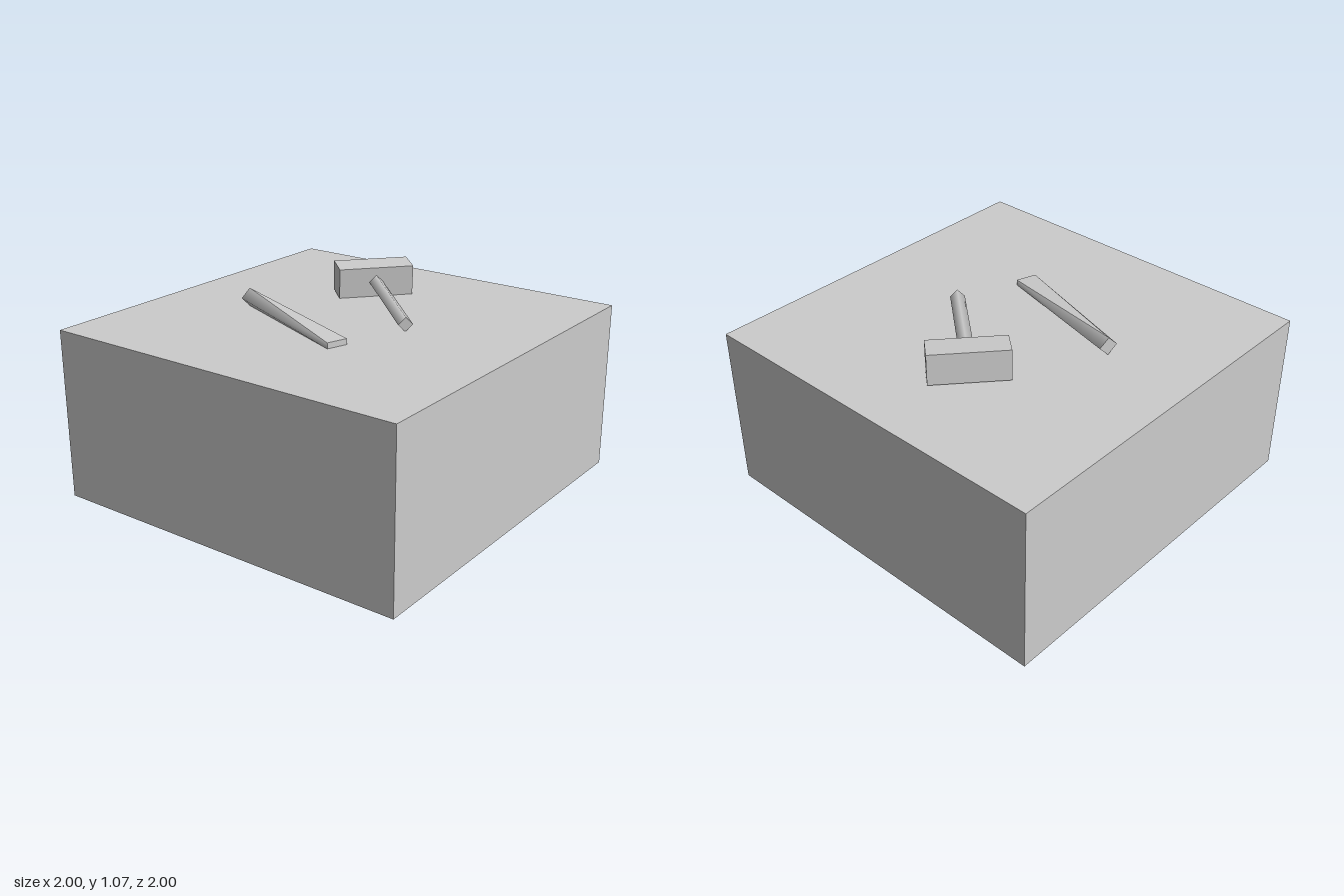
import * as THREE from 'three';
import { mergeGeometries } from 'three/addons/utils/BufferGeometryUtils.js';

const TOP = 0.9; // height of the block's upper surface

const grey = () => new THREE.MeshStandardMaterial({ color: 0xcccccc, side: THREE.DoubleSide });

function part(name, geometry, parent) {
  const mesh = new THREE.Mesh(geometry, grey());
  mesh.name = name;
  parent.add(mesh);
  return mesh;
}

// One smooth patch: corners shared inside the patch, sharp towards its neighbours.
function patch(corners, faces) {
  const geometry = new THREE.BufferGeometry();
  geometry.setAttribute('position', new THREE.Float32BufferAttribute(corners.flat(), 3));
  geometry.setIndex(faces.flat());
  geometry.computeVertexNormals();
  return geometry;
}

// Wedge that blends a diamond-shaped butt into a flat, wide blade.
function chiselGeometry() {
  const x = 0.4, r = 0.049, halfWidth = 0.056, thickness = 0.03;
  const ridge = [-x, 2 * r, 0];
  const keel = [-x, 0, 0];
  const side = (s) => [-x, r, s * r];
  const edgeTop = (s) => [x, thickness, s * halfWidth];
  const edgeLow = (s) => [x, 0, s * halfWidth];
  const patches = [];

  // Mirrored flanks
  for (const s of [1, -1]) {
    const faces = [[0, 1, 3], [1, 4, 3], [1, 2, 4]];
    if (s < 0) faces.forEach((f) => f.reverse());
    patches.push(patch([ridge, side(s), keel, edgeTop(s), edgeLow(s)], faces));
  }
  // Flat upper and lower faces
  patches.push(patch([ridge, edgeTop(1), edgeTop(-1)], [[0, 1, 2]]));
  patches.push(patch([keel, edgeLow(-1), edgeLow(1)], [[0, 1, 2]]));
  // Butt and blade ends
  const quad = [[0, 1, 2], [0, 2, 3]];
  patches.push(patch([ridge, side(-1), keel, side(1)], quad));
  patches.push(patch([edgeTop(1), edgeLow(1), edgeLow(-1), edgeTop(-1)], quad));
  return mergeGeometries(patches);
}

export function createModel() {
  const model = new THREE.Group();
  model.name = 'blockWithTools';

  // Hollow block, open underneath
  const shell = new THREE.BoxGeometry(2, TOP, 2);
  const bottomStart = 18; // the fourth box face is the underside
  shell.setIndex(Array.from(shell.index.array).filter((_, i) => i < bottomStart || i >= bottomStart + 6));
  shell.clearGroups();
  part('block', shell, model).position.y = TOP / 2;

  // Mallet lying down, tipped so the handle end rests on the block
  const mallet = new THREE.Group();
  mallet.name = 'mallet';
  mallet.position.set(-0.14, TOP + 0.086, -0.445);
  mallet.rotation.set(0, -0.717, -0.078);
  model.add(mallet);

  part('malletHead', new THREE.BoxGeometry(0.15, 0.16, 0.4), mallet);

  const handleLength = 0.68;
  const handle = new THREE.CylinderGeometry(0.038, 0.038, handleLength, 4);
  handle.rotateZ(Math.PI / 2).translate(handleLength / 2, 0, 0);
  part('malletHandle', handle, mallet);

  // Chisel lying beside the mallet
  const chisel = part('chisel', chiselGeometry(), model);
  chisel.position.set(-0.136, TOP, 0.262);
  chisel.rotation.y = -0.322;

  return model;
}
